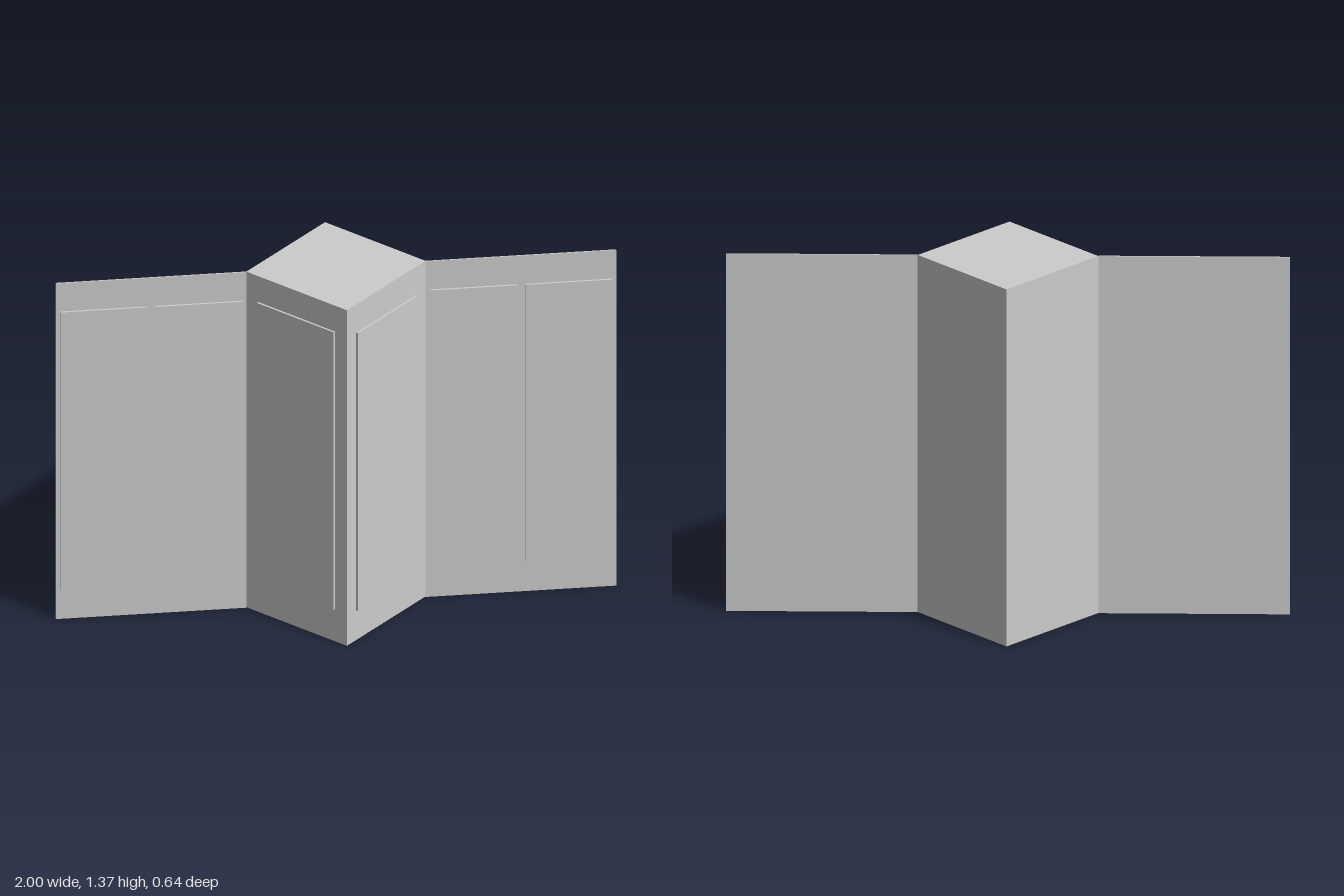
import * as THREE from 'three';

export function createModel() {
  const group = new THREE.Group();
  const material = new THREE.MeshStandardMaterial({ color: 0xcccccc, flatShading: true });
  const height = 1.365, half = 0.32;

  function box(name, w, h, d, x, y, z, turn = 0) {
    const mesh = new THREE.Mesh(new THREE.BoxGeometry(w, h, d), material);
    mesh.name = name;
    mesh.position.set(x, y, z);
    mesh.rotation.y = turn;
    group.add(mesh);
  }

  // Square column set at 45 degrees
  const side = half * Math.SQRT2;
  box('column', side, height, side, 0, height / 2, 0, Math.PI / 4);

  for (const s of [-1, 1]) {
    const label = s > 0 ? 'left' : 'right';

    // Thin wall beside the column
    box(label + 'Wall', 1 - half, height, 0.005, s * (1 + half) / 2, height / 2, 0.0015);

    // Two raised panels on the wall
    box(label + 'InnerPanel', 0.31, 1.13, 0.009, s * 0.49, 0.685, 0.0075);
    box(label + 'OuterPanel', 0.31, 1.13, 0.009, s * 0.83, 0.685, 0.0075);

    // Raised panel on the front column face, slightly higher on one side
    const mid = half / 2 + 0.002;
    box(label + 'ColumnPanel', 0.345, 1.13, 0.01, s * mid, s > 0 ? 0.685 : 0.695, mid, s * Math.PI / 4);
  }
  return group;
}
